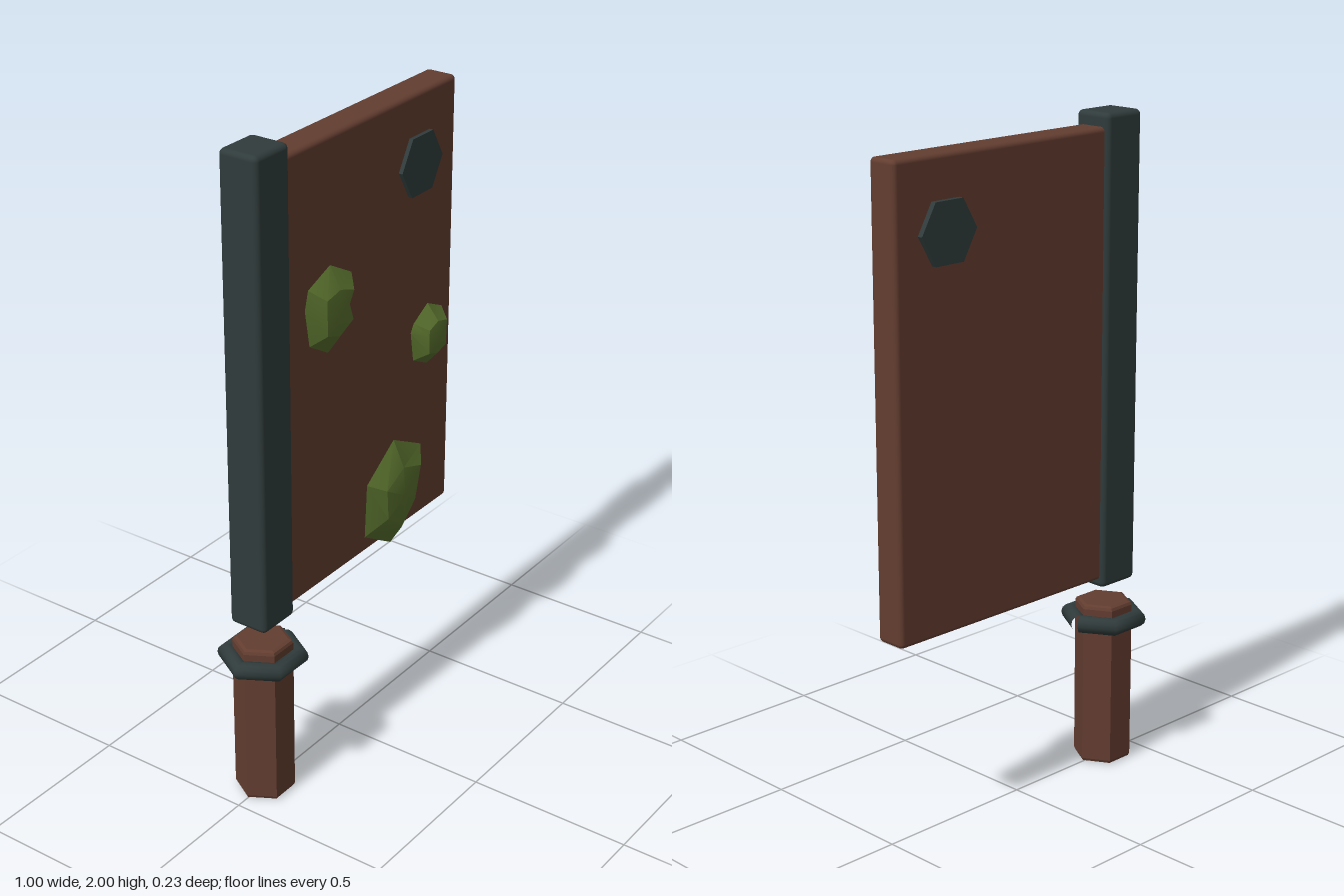
import * as THREE from 'three';
import { RoundedBoxGeometry } from 'three/addons/geometries/RoundedBoxGeometry.js';
import { toCreasedNormals } from 'three/addons/utils/BufferGeometryUtils.js';

const material = (name, color) => {
  const m = new THREE.MeshStandardMaterial({ color });
  m.name = name;
  return m;
};

// Skin a list of rings (each an array of [x, y, z]) with quads
function skin(rings, capEnd) {
  const n = rings[0].length, index = [];
  const points = rings.flat();
  for (let i = 0; i < rings.length - 1; i++) {
    for (let j = 0; j < n; j++) {
      const k = (j + 1) % n, a = i * n + j, b = i * n + k;
      index.push(a, b, b + n, a, b + n, a + n);
    }
  }
  if (capEnd) {
    const last = (rings.length - 1) * n;
    for (let j = 0; j < n; j++) index.push(last + j, last + (j + 1) % n, points.length);
    points.push(capEnd);
  }
  const g = new THREE.BufferGeometry();
  g.setAttribute('position', new THREE.Float32BufferAttribute(points.flat(), 3));
  g.setIndex(index);
  g.computeVertexNormals();
  return g;
}

// Hexagonal bar with bevelled ends, corners pointing along x
function hexBar(radius, height, bevel) {
  const r = radius - bevel / Math.cos(Math.PI / 6);
  const pts = Array.from({ length: 6 }, (_, i) =>
    new THREE.Vector2(r * Math.cos(i * Math.PI / 3), r * Math.sin(i * Math.PI / 3)));
  const g = new THREE.ExtrudeGeometry(new THREE.Shape(pts), {
    depth: height - 2 * bevel, bevelEnabled: true,
    bevelThickness: bevel, bevelSize: bevel, bevelSegments: 2,
  });
  return g.translate(0, 0, bevel).rotateX(-Math.PI / 2);
}

// Hexagonal collar swept as a round bar, with a narrow split at the +x corner
function splitCollar(radius, thick) {
  const rings = [], sides = 12;
  for (let i = 0; i <= 6; i++) {
    const a = i * Math.PI / 3;
    const end = i === 0 || i === 6;
    const u = a + (i === 0 ? Math.PI / 6 : i === 6 ? -Math.PI / 6 : 0);
    const mitre = end ? 1 : 1.05;
    rings.push(Array.from({ length: sides }, (_, j) => {
      const t = j * Math.PI * 2 / sides;
      const out = thick * mitre * Math.cos(t);
      return [radius * Math.cos(a) + out * Math.cos(u), thick * Math.sin(t),
        radius * Math.sin(a) + out * Math.sin(u)];
    }));
  }
  return skin(rings);
}

// Faceted moss clump: an outline (counter-clockwise) domed towards the front
function mossClump(cx, cy, outline) {
  const ring = (scale, z) => outline.map(([x, y], j) => {
    const s = scale * (scale < 1 && j % 2 ? 0.85 : 1);
    return [cx + (x - cx) * s, cy + (y - cy) * s, z];
  });
  const g = skin([ring(0.8, 0.01), ring(1, 0.048), ring(0.62, 0.088)], [cx, cy, 0.097]);
  return toCreasedNormals(g, 0.45);
}

export function createModel() {
  const model = new THREE.Group();
  model.name = 'cleaver';
  const wood = material('rust brown', 0x633d30);
  const iron = material('dark iron', 0x303b3b);
  const green = material('moss green', 0x566d2c);

  const add = (name, geometry, mat, x = 0, y = 0, z = 0) => {
    const mesh = new THREE.Mesh(geometry, mat);
    mesh.name = name;
    mesh.position.set(x, y, z);
    model.add(mesh);
  };

  // Blade plate and the spine bar along its edge
  add('blade', new RoundedBoxGeometry(0.845, 1.355, 0.097, 2, 0.014), wood, 0.0725, 1.2825, 0);
  add('spine', new RoundedBoxGeometry(0.142, 1.42, 0.125, 2, 0.016), iron, -0.371, 1.29, 0);

  // Grip and its collar
  add('handle', hexBar(0.088, 0.515, 0.012), wood, -0.372, 0, 0);
  add('collar', splitCollar(0.104, 0.0265), iron, -0.372, 0.46, 0);

  // Hexagonal bolt passing through the blade
  const bolt = new THREE.CylinderGeometry(0.1, 0.1, 0.126, 6).toNonIndexed();
  bolt.rotateY(Math.PI / 2).rotateX(Math.PI / 2);
  bolt.computeVertexNormals();
  // a corner must point along x
  const p = bolt.attributes.position;
  let maxX = 0;
  for (let i = 0; i < p.count; i++) maxX = Math.max(maxX, p.getX(i));
  if (maxX < 0.095) bolt.rotateZ(Math.PI / 6);
  add('bolt', bolt, iron, 0.313, 1.75, -0.002);

  // Moss on the front face
  add('upperMoss', mossClump(-0.12, 1.46, [
    [-0.01, 1.535], [-0.11, 1.59], [-0.21, 1.55], [-0.225, 1.495],
    [-0.205, 1.38], [-0.12, 1.33], [-0.015, 1.395], [-0.03, 1.48],
  ]), green);
  add('middleMoss', mossClump(0.37, 1.2, [
    [0.445, 1.265], [0.37, 1.3], [0.3, 1.26], [0.285, 1.235],
    [0.3, 1.14], [0.37, 1.105], [0.44, 1.14], [0.455, 1.235],
  ]), green);
  add('lowerMoss', mossClump(0.2, 0.75, [
    [0.35, 0.845], [0.205, 0.92], [0.07, 0.825],
    [0.06, 0.655], [0.195, 0.575], [0.325, 0.665],
  ]), green);

  return model;
}
